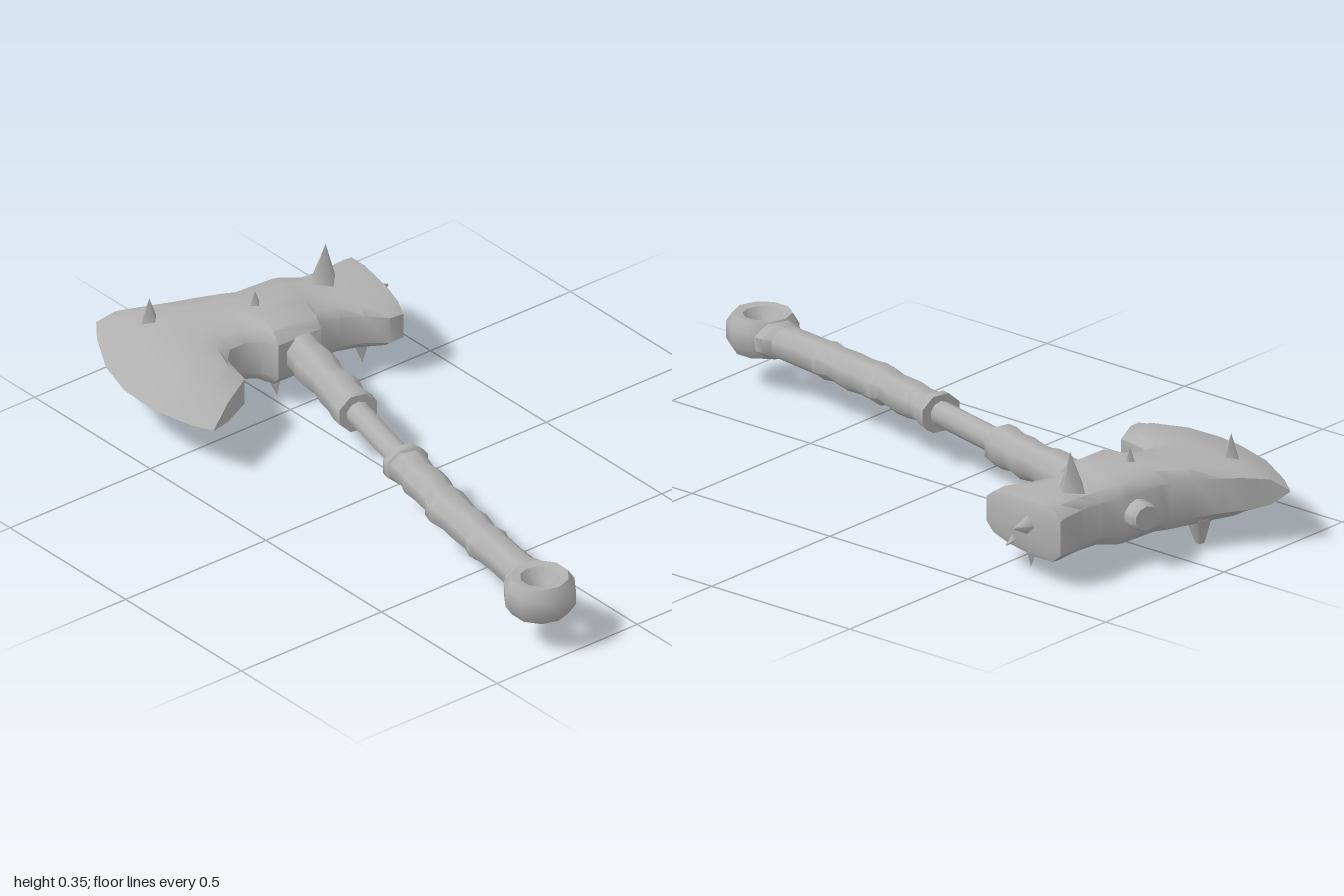
import * as THREE from 'three';
import { toCreasedNormals } from 'three/addons/utils/BufferGeometryUtils.js';

const MID = 0.157; // height of the axe's middle plane

// Skin a list of rings (each a closed loop of Vector3) and cap both ends.
function loft(rings, crease) {
  const n = rings[0].length, pos = [], idx = [];
  rings.forEach(r => r.forEach(p => pos.push(p.x, p.y, p.z)));
  for (let i = 0; i < rings.length - 1; i++) {
    for (let j = 0; j < n; j++) {
      const a = i * n + j, b = i * n + (j + 1) % n;
      idx.push(a, a + n, b, b, a + n, b + n);
    }
  }
  [0, rings.length - 1].forEach((k, end) => {
    const c = new THREE.Vector3();
    rings[k].forEach(p => c.addScaledVector(p, 1 / n));
    const ci = pos.length / 3;
    pos.push(c.x, c.y, c.z);
    for (let j = 0; j < n; j++) {
      const a = k * n + j, b = k * n + (j + 1) % n;
      if (end) idx.push(ci, b, a); else idx.push(ci, a, b);
    }
  });
  const g = new THREE.BufferGeometry();
  g.setAttribute('position', new THREE.Float32BufferAttribute(pos, 3));
  g.setIndex(idx);
  return toCreasedNormals(g, crease);
}

// Centre line of the slightly bent handle.
const axis = new THREE.CatmullRomCurve3([
  [-0.245, 0.86], [-0.228, 0.74], [-0.2, 0.55], [-0.16, 0.35], [-0.1, 0.1],
  [-0.075, 0], [0, -0.3], [0.05, -0.5], [0.12, -0.78], [0.135, -0.84],
].map(([x, z]) => new THREE.Vector3(x, MID, z)));

function axisAt(z) {
  let lo = 0, hi = 1;
  for (let i = 0; i < 30; i++) {
    const m = (lo + hi) / 2;
    if (axis.getPoint(m).z > z) lo = m; else hi = m;
  }
  return { p: axis.getPoint(lo), t: axis.getTangent(lo) };
}

// Handle piece from [z, radius across, radius up, sideways shift] stations.
function handlePiece(stations, sides, crease) {
  return loft(stations.map(([z, ra, rb, shift = 0]) => {
    const { p, t } = axisAt(z), ring = [];
    for (let j = 0; j < sides; j++) {
      const a = (j + 0.5) / sides * Math.PI * 2;
      const s = Math.cos(a) * ra + shift;
      ring.push(new THREE.Vector3(p.x - t.z * s, p.y + Math.sin(a) * rb, p.z + t.x * s));
    }
    return ring;
  }), crease);
}

// Head cross-section: back edge P, front edge Q, sideways bow, half thicknesses.
function headRing([px, pz, qx, qz, bow, hp, hq]) {
  const T = [0, 0.1, 0.3, 0.5, 0.7, 0.9, 1], F = [0.58, 0.9, 1, 1, 1, 0.9, 0.58];
  const at = (i, s) => {
    const t = T[i];
    return new THREE.Vector3(
      px + (qx - px) * t + bow * 4 * t * (1 - t),
      MID + s * F[i] * (hp + (hq - hp) * t),
      pz + (qz - pz) * t);
  };
  return [...T.map((_, i) => at(i, 1)), ...T.map((_, i) => at(T.length - 1 - i, -1))];
}

export function createModel() {
  const root = new THREE.Group();
  const metal = new THREE.MeshStandardMaterial({ color: 0xb0b0b0 });
  metal.name = 'grey';
  const add = (name, geo, parent = root) => {
    const m = new THREE.Mesh(geo, metal);
    m.name = name;
    parent.add(m);
    return m;
  };

  // Axe head, from the hammer face across to the cutting edge
  add('axeHead', loft([
    [0.412, -0.735, 0.375, -0.475, 0.005, 0.07, 0.05],
    [0.405, -0.755, 0.362, -0.45, 0.008, 0.088, 0.064],
    [0.375, -0.752, 0.315, -0.452, 0.01, 0.092, 0.068],
    [0.3, -0.745, 0.265, -0.5, 0, 0.088, 0.074],
    [0.225, -0.75, 0.205, -0.533, 0, 0.087, 0.08],
    [0.175, -0.778, 0.135, -0.542, 0, 0.097, 0.088],
    [0.15, -0.785, 0.12, -0.512, 0, 0.1, 0.092],
    [0.03, -0.795, -0.03, -0.515, 0, 0.099, 0.092],
    [0.0, -0.81, -0.05, -0.565, 0, 0.098, 0.088],
    [-0.06, -0.84, -0.09, -0.59, 0, 0.094, 0.085],
    [-0.13, -0.88, -0.14, -0.592, -0.01, 0.088, 0.08],
    [-0.175, -0.915, -0.178, -0.555, -0.02, 0.083, 0.075],
    [-0.205, -0.94, -0.2, -0.455, -0.05, 0.076, 0.068],
    [-0.24, -0.965, -0.31, -0.395, -0.08, 0.064, 0.052],
    [-0.28, -1, -0.4, -0.345, -0.11, 0.003, 0.003],
  ].map(headRing), 0.75));

  // Bare shaft running through to the head
  add('shaft', handlePiece([
    [0.2, 0.036, 0.036], [-0.3, 0.036, 0.036], [-0.7, 0.036, 0.036],
  ], 10, 0.8));

  // Peg end showing behind the head
  add('shaftPeg', handlePiece([
    [-0.72, 0.045, 0.042], [-0.822, 0.045, 0.042], [-0.835, 0.038, 0.035],
  ], 10, 0.7));

  // Lumpy wrapped grips
  add('lowerGrip', handlePiece([
    [0.84, 0.058, 0.047], [0.78, 0.058, 0.048], [0.7, 0.054, 0.05], [0.63, 0.056, 0.05],
    [0.605, 0.064, 0.054], [0.57, 0.054, 0.049], [0.5, 0.06, 0.054, 0.004],
    [0.45, 0.056, 0.051], [0.4, 0.064, 0.054, -0.004], [0.36, 0.063, 0.055],
    [0.34, 0.052, 0.048], [0.28, 0.057, 0.053, 0.004], [0.235, 0.061, 0.052],
    [0.2, 0.053, 0.047], [0.145, 0.06, 0.05], [0.14, 0.067, 0.058], [0.115, 0.067, 0.058],
  ], 8, 0.9));
  add('upperGrip', handlePiece([
    [-0.165, 0.062, 0.06], [-0.2, 0.064, 0.062], [-0.24, 0.058, 0.055],
    [-0.29, 0.062, 0.061, 0.004], [-0.34, 0.052, 0.054], [-0.37, 0.054, 0.056],
    [-0.4, 0.06, 0.063], [-0.44, 0.062, 0.064], [-0.47, 0.054, 0.06], [-0.56, 0.058, 0.062],
  ], 8, 0.9));

  // Pommel: collar and chunky ring with a hole
  add('pommelCollar', handlePiece([
    [0.85, 0.068, 0.048], [0.832, 0.08, 0.054], [0.81, 0.076, 0.053], [0.79, 0.058, 0.048],
  ], 8, 0.9));
  const ringProfile = [
    [0.102, -0.024], [0.102, 0.024], [0.082, 0.054], [0.056, 0.05],
    [0.027, 0], [0.056, -0.05], [0.082, -0.054], [0.102, -0.024],
  ].map(([r, y]) => new THREE.Vector2(r, y));
  add('pommelRing', toCreasedNormals(new THREE.LatheGeometry(ringProfile, 10), 0.9))
    .position.set(-0.263, MID, 0.898);

  // Spikes: [base], [tip], base radius, tip radius
  const spikes = new THREE.Group();
  spikes.name = 'spikes';
  root.add(spikes);
  const up = new THREE.Vector3(0, 1, 0);
  [
    [[-0.235, 0.2, -0.825], [-0.235, 0.297, -0.825], 0.038, 0],
    [[0.018, 0.235, -0.675], [0.018, 0.295, -0.675], 0.023, 0],
    [[0.258, 0.225, -0.672], [0.268, 0.352, -0.672], 0.05, 0],
    [[-0.28, 0.115, -0.72], [-0.29, 0.028, -0.72], 0.03, 0.003],
    [[-0.115, 0.085, -0.81], [-0.12, 0.006, -0.81], 0.038, 0.013],
    [[0.012, 0.085, -0.59], [0.015, 0.006, -0.575], 0.03, 0],
    [[0.225, 0.095, -0.61], [0.213, 0.024, -0.6], 0.028, 0],
    [[0.31, 0.095, -0.57], [0.315, 0.001, -0.57], 0.036, 0],
    [[0.385, 0.165, -0.63], [0.455, 0.17, -0.63], 0.034, 0.004],
    [[0.365, 0.115, -0.57], [0.42, 0.095, -0.57], 0.022, 0.002],
    [[0.12, 0.115, -0.52], [0.145, 0.105, -0.505], 0.02, 0.008],
    [[-0.03, 0.11, -0.22], [-0.032, 0.085, -0.22], 0.013, 0.003],
  ].forEach(([b, t, rb, rt]) => {
    const base = new THREE.Vector3(...b), dir = new THREE.Vector3(...t).sub(base);
    const geo = new THREE.CylinderGeometry(rt, rb, dir.length(), rt > 0.01 ? 8 : 4);
    const spike = add('spike', geo, spikes);
    spike.position.copy(base).addScaledVector(dir, 0.5);
    spike.quaternion.setFromUnitVectors(up, dir.normalize());
  });

  return root;
}
